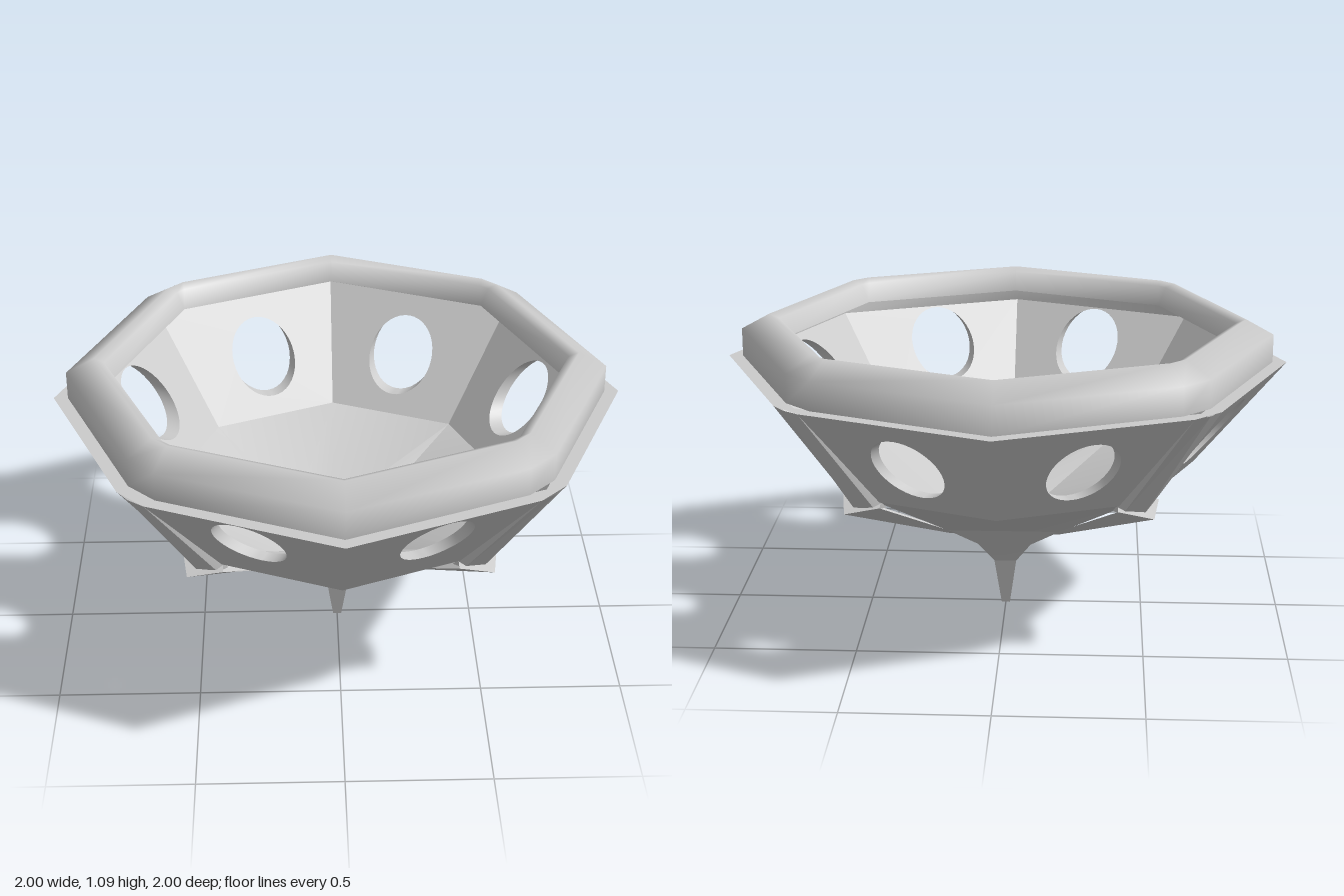
import * as THREE from 'three';
import { toCreasedNormals } from 'three/addons/utils/BufferGeometryUtils.js';

const grey = new THREE.MeshStandardMaterial({ color: 0xcccccc });
const greyDouble = new THREE.MeshStandardMaterial({ color: 0xcccccc, side: THREE.DoubleSide });

const RIM_Y = 0.93, MID_Y = 0.555;      // top and bottom of the pierced walls
const OUT_TOP = 1, OUT_MID = 0.68;      // outer wall radii
const IN_TOP = 0.94, IN_MID = 0.625;    // inner wall radii
const CUT = 0.07;                       // corner cut on the diagonals
const SIN = Math.sin(Math.PI / 8), COS = Math.cos(Math.PI / 8);

function mesh(name, geometry, material = grey) {
  const m = new THREE.Mesh(geometry, material);
  m.name = name;
  return m;
}

// Horizontal section: radius a on the axes, corner (d, d) on the diagonals, corner cut by c
function ring(y, a, d = a * Math.SQRT1_2, c = 0, zScale = 1) {
  const pts = [];
  for (let q = 0; q < 4; q++) {
    const A = new THREE.Vector2(a, 0), B = new THREE.Vector2(0, a), D = new THREE.Vector2(d, d);
    const toward = (p) => p.clone().sub(D).setLength(c).add(D);
    for (const p of [A, toward(A), toward(B)]) {
      p.rotateAround(new THREE.Vector2(), q * Math.PI / 2);
      pts.push(new THREE.Vector3(p.x, y, p.y * zScale));
    }
  }
  return pts;
}

// Skin a list of sections with equal point counts
function loft(sections, closed = true, crease = 0.6) {
  const pos = [];
  const n = sections[0].length;
  for (let s = 0; s + 1 < sections.length; s++) {
    for (let i = 0; i < (closed ? n : n - 1); i++) {
      const j = (i + 1) % n, lo = sections[s], hi = sections[s + 1];
      for (const p of [lo[i], hi[i], lo[j], lo[j], hi[i], hi[j]]) pos.push(p.x, p.y, p.z);
    }
  }
  const g = new THREE.BufferGeometry();
  g.setAttribute('position', new THREE.Float32BufferAttribute(pos, 3));
  g.computeVertexNormals();
  return toCreasedNormals(g, crease);
}

// One sloping wall with a round hole bored horizontally through it
function makePanel(side, holeY) {
  const panel = new THREE.Group();
  panel.name = 'wallPanel';
  const holeR = 0.125, holeT = -0.01 * side;
  const depth = (topR, midR) => (y) =>
    COS * (midR + (topR - midR) * (y - MID_Y) / (RIM_Y - MID_Y));
  const outer = depth(OUT_TOP, OUT_MID), inner = depth(IN_TOP, IN_MID);

  const skin = (topR, midR, cut, depthAt) => {
    const t = topR * SIN, b = midR * SIN;
    const shape = new THREE.Shape([
      [-b, MID_Y], [b - cut, MID_Y], [t - cut, RIM_Y], [-t, RIM_Y],
    ].map(([x, y]) => new THREE.Vector2(x * side, y)));
    shape.holes.push(new THREE.Path().absarc(holeT, holeY, holeR, 0, Math.PI * 2, true));
    const g = new THREE.ShapeGeometry(shape, 20);
    const p = g.attributes.position;
    for (let i = 0; i < p.count; i++) p.setZ(i, depthAt(p.getY(i)));
    g.computeVertexNormals();
    return g;
  };
  panel.add(mesh('outerWall', skin(OUT_TOP, OUT_MID, CUT, outer)));
  panel.add(mesh('innerWall', skin(IN_TOP, IN_MID, 0, inner), greyDouble));

  const edge = (depthAt) => Array.from({ length: 40 }, (_, i) => {
    const a = i / 40 * Math.PI * 2, y = holeY + holeR * Math.sin(a);
    return new THREE.Vector3(holeT + holeR * Math.cos(a), y, depthAt(y));
  });
  panel.add(mesh('holeLining', loft([edge(inner), edge(outer)]), greyDouble));
  return panel;
}

// Mirrored strip: each row lists [half width, y, radius] from the edge to the middle
function strip(rows) {
  return loft(rows.map((row) => {
    const half = row.map(([w, y, r]) => new THREE.Vector3(w, y, r));
    const other = row.slice(0, -1).reverse().map(([w, y, r]) => new THREE.Vector3(-w, y, r));
    return [...half, ...other];
  }), false, 0.2);
}

export function createModel() {
  const model = new THREE.Group();
  model.name = 'octagonalBowl';

  // Eight pierced walls, mirrored about each axis; the holes sit lower toward the back
  for (let k = 0; k < 8; k++) {
    const angle = Math.PI / 8 + k * Math.PI / 4;
    const panel = makePanel(k % 2 ? -1 : 1, 0.77 + 0.033 * Math.cos(angle));
    panel.rotation.y = angle;
    model.add(panel);
  }

  // Underside, inner floor and ledge
  model.add(mesh('underside', loft([
    ring(0.345, 0.2, 0.2), ring(MID_Y, OUT_MID, undefined, CUT),
  ])));
  model.add(mesh('innerFloor', loft([
    ring(MID_Y, IN_MID), ring(0.37, 0.15, 0.15), ring(0.37, 0, 0),
  ], true, 0.35)));
  model.add(mesh('ledge', loft([
    ring(RIM_Y, OUT_TOP, undefined, CUT), ring(RIM_Y, IN_TOP),
  ])));

  // Heavy rim with softly bevelled top and a lip overhanging the inside
  model.add(mesh('rim', loft([
    ring(RIM_Y, 0.95, undefined, CUT), ring(1.03, 0.95, undefined, CUT),
    ring(1.085, 0.85, undefined, 0.04), ring(1.07, 0.815, undefined, 0.02),
    ring(1, 0.79), ring(1, IN_TOP), ring(RIM_Y, IN_TOP),
  ], true, 1.4)));

  // Ribs on the four diagonals
  const upper = strip([
    [[0.075, 0.53, 0.62], [0.07, 0.53, 0.665], [0, 0.525, 0.7]],
    [[0.07, RIM_Y, 0.95], [0.065, RIM_Y, 0.973], [0, RIM_Y, 0.982]],
  ]);
  const lower = strip([
    [[0.05, 0.347, 0.28], [0, 0.333, 0.275]],
    [[0.1, 0.545, 0.67], [0, 0.515, 0.745]],
    [[0.07, 0.55, 0.64], [0, 0.545, 0.66]],
  ]);
  for (let k = 0; k < 4; k++) {
    const rib = new THREE.Group();
    rib.name = 'rib';
    rib.add(mesh('upperRib', upper, greyDouble), mesh('lowerRib', lower, greyDouble));
    rib.rotation.y = Math.PI / 4 + k * Math.PI / 2;
    model.add(rib);
  }

  // Tapering four-sided spike below
  model.add(mesh('spike', loft([
    ring(0, 0, 0), ring(0, 0.015, 0.015, 0, 1.35), ring(0.18, 0.04, 0.04, 0, 1.55),
    ring(0.27, 0.095, 0.095, 0, 1.4), ring(0.345, 0.2, 0.2),
  ], true, 0.3)));

  return model;
}
